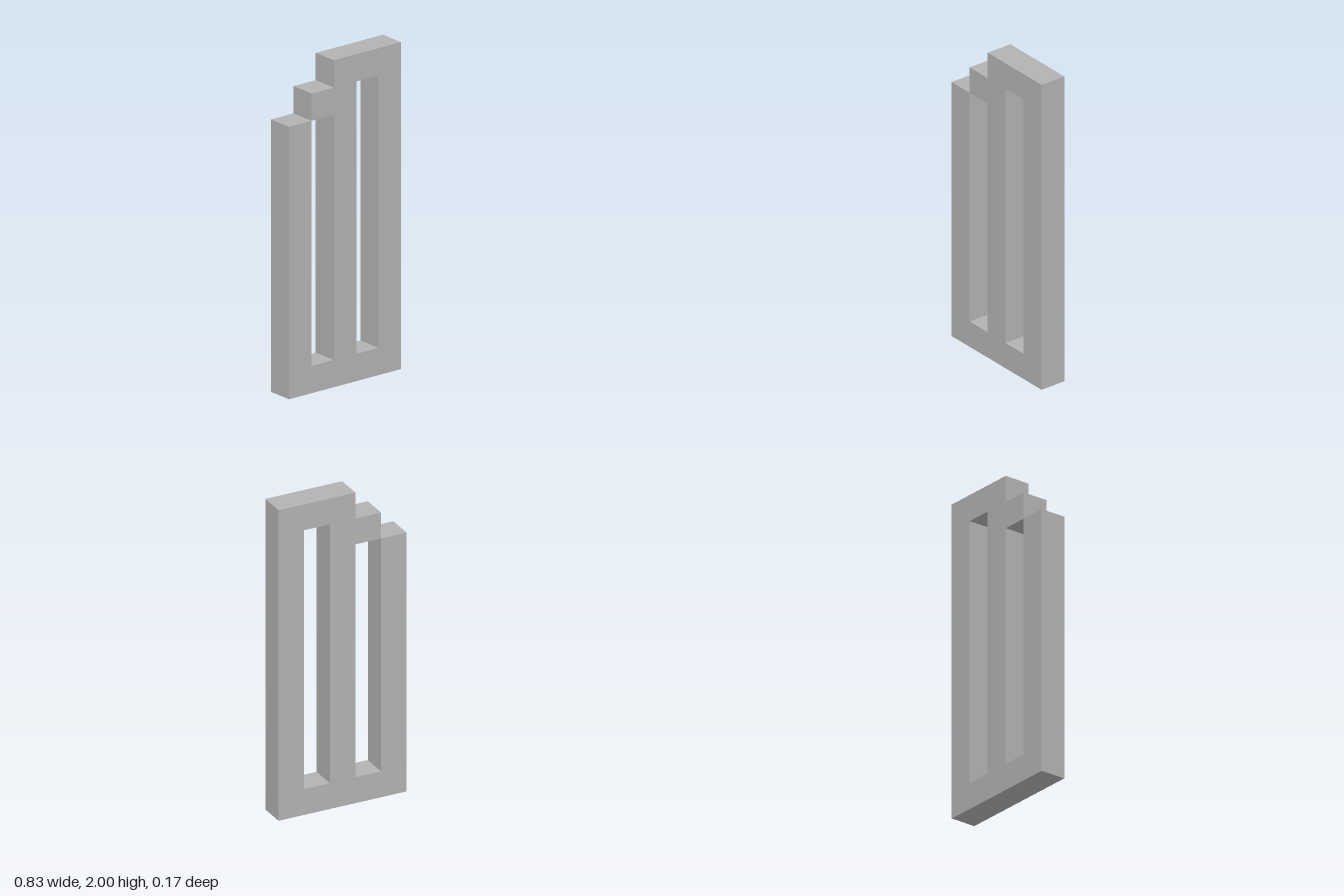
import * as THREE from 'three';

const U = 1 / 6; // the frame is laid out on a grid 5 wide, 12 high and 1 deep

const toPoints = (cells) => cells.map(([x, y]) => new THREE.Vector2((x - 2.5) * U, y * U));

export function createModel() {
  const group = new THREE.Group();
  group.name = 'steppedFrame';
  const grey = new THREE.MeshStandardMaterial({ color: 0xb2b2b2 });
  grey.name = 'grey';

  // Outline: the left slot opens where the step and the short post meet at a corner
  const outline = new THREE.Shape(toPoints([
    [0, 0], [5, 0], [5, 12], [2, 12], [2, 11], [1, 11],
    [1, 10], [2, 10], [2, 1], [1, 1], [1, 10], [0, 10],
  ]));
  // Closed slot between the two tall posts
  outline.holes.push(new THREE.Path(toPoints([[3, 1], [3, 11], [4, 11], [4, 1]])));

  const geometry = new THREE.ExtrudeGeometry(outline, { depth: U, bevelEnabled: false });
  geometry.translate(0, 0, -U / 2);
  const frame = new THREE.Mesh(geometry, grey);
  frame.name = 'frame';
  group.add(frame);
  return group;
}
